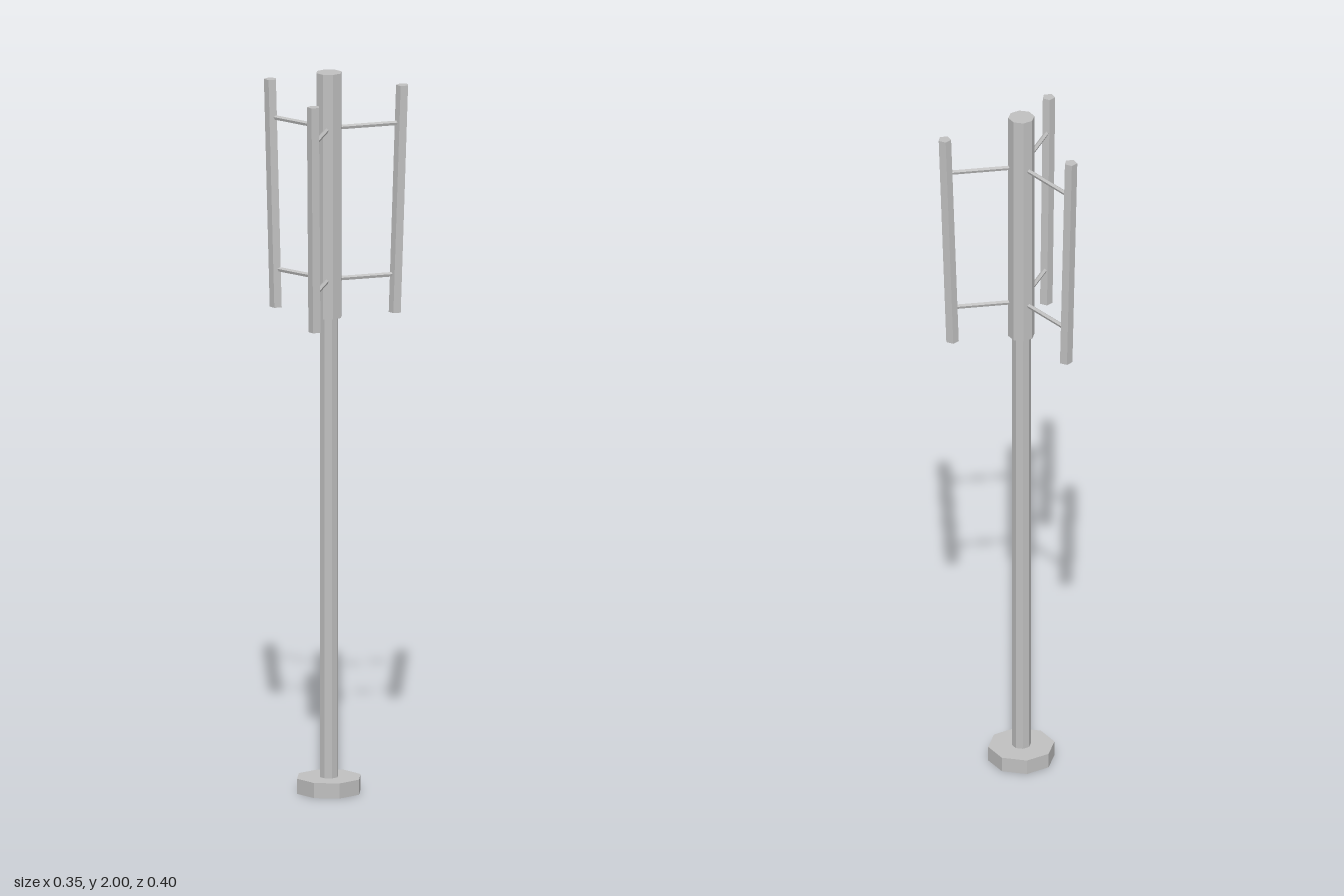
import * as THREE from 'three';

export function createModel() {
  const model = new THREE.Group();
  model.name = 'verticalWindTurbine';
  const metal = new THREE.MeshStandardMaterial({ color: 0xc0c0c0, flatShading: true });
  metal.name = 'greyMetal';

  // The mast axis sits slightly off centre so the rotor is balanced in x
  const turbine = new THREE.Group();
  turbine.name = 'turbine';
  turbine.position.x = -0.054;
  model.add(turbine);

  const add = (name, geometry) => {
    const mesh = new THREE.Mesh(geometry, metal);
    mesh.name = name;
    turbine.add(mesh);
    return mesh;
  };
  const post = (name, radius, y0, y1) =>
    add(name, new THREE.CylinderGeometry(radius, radius, y1 - y0, 8).translate(0, (y0 + y1) / 2, 0));

  // Octagonal foot, mast and rotor hub
  post('base', 0.091, 0, 0.042);
  post('mast', 0.026, 0.042, 1.32);
  post('hub', 0.036, 1.32, 2);

  const bladeBottom = 1.32, bladeTop = 1.95;
  for (let i = 0; i < 3; i++) {
    const angle = (i * Math.PI * 2) / 3;
    const dx = Math.cos(angle), dz = -Math.sin(angle);

    // Five-sided blade, sheared outward towards the top with level ends
    const blade = new THREE.CylinderGeometry(0.018, 0.018, bladeTop - bladeBottom, 5);
    blade.rotateY(Math.PI).translate(0, (bladeTop + bladeBottom) / 2, 0);
    const p = blade.attributes.position;
    for (let v = 0; v < p.count; v++) {
      const t = (p.getY(v) - bladeBottom) / (bladeTop - bladeBottom);
      const reach = 0.19 + 0.021 * t;
      p.setX(v, p.getX(v) + dx * reach);
      p.setZ(v, p.getZ(v) + dz * reach);
    }
    blade.computeVertexNormals();
    add('blade' + (i + 1), blade);

    // Two thin struts from hub to blade
    for (const [label, y] of [['lower', 1.425], ['upper', 1.845]]) {
      const strut = new THREE.CylinderGeometry(0.0065, 0.0065, 0.17, 5);
      strut.rotateY(-Math.PI / 2).rotateZ(-Math.PI / 2).translate(0.113, y, 0).rotateY(angle);
      add(label + 'Strut' + (i + 1), strut);
    }
  }
  return model;
}
